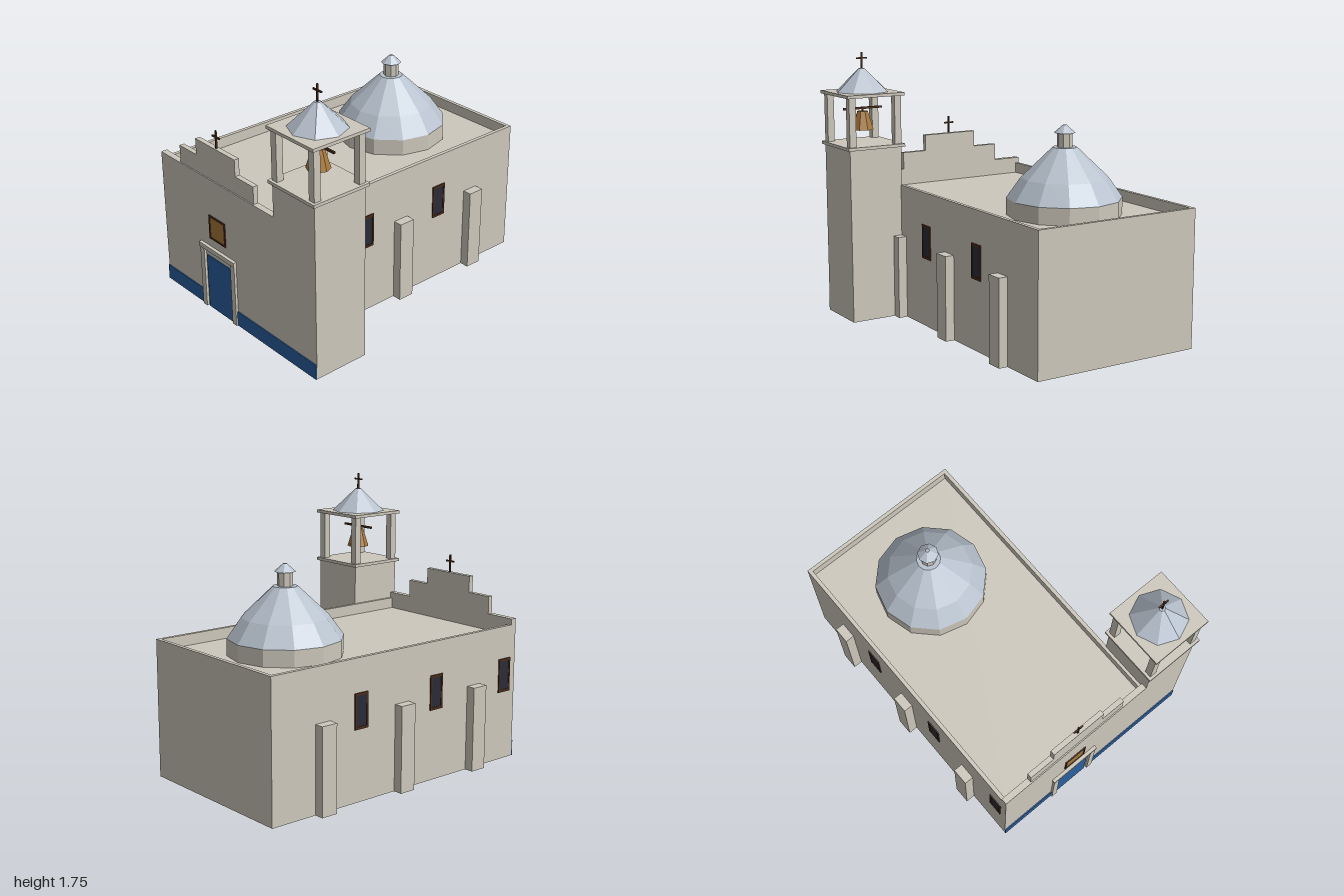
import * as THREE from 'three';

const mat = (name, color, extra = {}) => {
  const m = new THREE.MeshStandardMaterial({ color, ...extra });
  m.name = name;
  return m;
};

export function createModel() {
  const plaster = mat('plaster', 0xcdc8bc, { flatShading: true });
  const blue = mat('blue paint', 0x2a5f9e);
  const metal = mat('dome metal', 0xb8c2ce, { flatShading: true });
  const wood = mat('dark wood', 0x4a2c1a);
  const bronze = mat('bronze', 0xa8783a, { flatShading: true });
  const glass = mat('dark glass', 0x2b2b38);

  const church = new THREE.Group();
  church.name = 'church';

  const add = (name, geometry, material) => {
    const mesh = new THREE.Mesh(geometry, material);
    mesh.name = name;
    church.add(mesh);
    return mesh;
  };
  // Box given by its extents on each axis
  const box = (name, material, [x0, x1], [y0, y1], [z0, z1]) => {
    const g = new THREE.BoxGeometry(x1 - x0, y1 - y0, z1 - z0);
    return add(name, g.translate((x0 + x1) / 2, (y0 + y1) / 2, (z0 + z1) / 2), material);
  };
  // Faceted round part standing between two heights
  const round = (name, material, rTop, rBottom, y0, y1, sides, x, z) => {
    const g = new THREE.CylinderGeometry(rTop, rBottom, y1 - y0, sides);
    return add(name, g.translate(x, (y0 + y1) / 2, z), material);
  };
  const cross = (name, x, z, y0, y1, armY) => {
    box(name + 'Post', wood, [x - 0.005, x + 0.005], [y0, y1], [z - 0.005, z + 0.005]);
    box(name + 'Arm', wood, [x - 0.036, x + 0.036], [armY - 0.005, armY + 0.005], [z - 0.005, z + 0.005]);
  };

  // Nave with sunken roof and parapet
  const L = -0.73, R = 0.405, back = -1, front = 0.978, roofY = 0.81, top = 0.88;
  box('nave', plaster, [L, R], [0, roofY], [back, front]);
  box('backParapet', plaster, [L, R], [roofY, top], [back, back + 0.025]);
  box('rightParapet', plaster, [L, L + 0.025], [roofY, top], [back + 0.025, 0.937]);
  box('leftParapet', plaster, [R - 0.025, R], [roofY, top], [back + 0.025, 0.937]);

  // Stepped front gable
  box('facadeTop', plaster, [L, R], [roofY, 0.918], [0.937, front]);
  box('gableLower', plaster, [-0.53, 0.207], [0.918, 1.032], [0.937, 0.97]);
  box('gableUpper', plaster, [-0.355, 0.035], [1.032, 1.14], [0.937, 0.97]);
  cross('gableCross', -0.16, 0.955, 1.14, 1.255, 1.212);

  // Buttresses on both sides
  for (const z of [-0.63, -0.015, 0.6]) {
    box('rightButtress', plaster, [L - 0.06, L], [0, 0.545], [z - 0.055, z + 0.055]);
    box('leftButtress', plaster, [R, R + 0.06], [0, 0.545], [z - 0.055, z + 0.055]);
  }

  // Side windows: framed thin panes
  const sideWindow = (x, side, z) => {
    const span = (t) => (side > 0 ? [x, x + t] : [x - t, x]);
    box('windowPane', glass, span(0.004), [0.465, 0.655], [z - 0.04, z + 0.04]);
    for (const s of [-1, 1]) {
      const e = z + s * 0.045;
      box('windowJamb', wood, span(0.007), [0.45, 0.67], [e - 0.006, e + 0.006]);
      const y = 0.56 + s * 0.102;
      box('windowRail', wood, span(0.007), [y - 0.008, y + 0.008], [z - 0.04, z + 0.04]);
    }
  };
  for (const z of [-0.34, 0.27, 0.88]) sideWindow(L, -1, z);
  for (const z of [-0.34, 0.27]) sideWindow(R, 1, z);

  // Front window
  box('frontShutter', bronze, [-0.235, -0.085], [0.515, 0.665], [front, front + 0.004]);
  for (const s of [-1, 1]) {
    const x = -0.16 + s * 0.075, y = 0.59 + s * 0.075;
    box('frontWindowJamb', wood, [x - 0.006, x + 0.006], [0.509, 0.671], [front, front + 0.007]);
    box('frontWindowRail', wood, [-0.229, -0.091], [y - 0.006, y + 0.006], [front, front + 0.007]);
  }

  // Door, its surround and the painted base band
  box('door', blue, [-0.28, -0.04], [0, 0.375], [front, front + 0.006]);
  box('doorPost', plaster, [-0.332, -0.292], [0, 0.42], [front, 0.995]);
  box('doorPost', plaster, [-0.024, 0.016], [0, 0.42], [front, 0.995]);
  box('doorLintel', plaster, [-0.338, 0.02], [0.42, 0.45], [front, 1]);
  box('baseBand', blue, [L, -0.332], [0, 0.1], [front, front + 0.007]);
  box('baseBand', blue, [0.016, 0.765], [0, 0.1], [front, front + 0.007]);

  // Bell tower
  const tx = 0.582, tz = 0.793, h = 0.185;
  box('towerShaft', plaster, [tx - h + 0.002, tx + h], [0, 1.135], [tz - h, front]);
  for (const y of [1.135, 1.47]) {
    box('towerCornice', plaster, [tx - 0.203, tx + 0.203], [y, y + 0.02], [tz - 0.203, tz + 0.203]);
  }
  for (const sx of [-1, 1]) for (const sz of [-1, 1]) {
    const x = tx + sx * (h - 0.023), z = tz + sz * (h - 0.023);
    box('towerPost', plaster, [x - 0.023, x + 0.023], [1.155, 1.47], [z - 0.023, z + 0.023]);
  }
  round('towerRoof', metal, 0.02, 0.175, 1.49, 1.64, 8, tx, tz);
  cross('towerCross', tx, tz, 1.64, 1.745, 1.706);
  round('bell', bronze, 0.036, 0.073, 1.24, 1.36, 8, tx, tz);
  box('bellBeam', wood, [tx - 0.138, tx + 0.138], [1.374, 1.388], [tz - 0.006, tz + 0.006]);
  box('bellHanger', wood, [tx - 0.005, tx + 0.005], [1.355, 1.376], [tz - 0.005, tz + 0.005]);

  // Main dome with drum and lantern
  const dx = -0.16, dz = -0.445;
  round('domeDrum', plaster, 0.357, 0.357, roofY, 0.915, 12, dx, dz);
  const profile = [[0.357, 0.915], [0.268, 1.04], [0.075, 1.225], [0, 1.225]]
    .map(([r, y]) => new THREE.Vector2(r, y));
  add('dome', new THREE.LatheGeometry(profile, 12), metal).position.set(dx, 0, dz);
  round('lantern', plaster, 0.048, 0.048, 1.225, 1.312, 8, dx, dz);
  round('lanternCap', metal, 0.012, 0.066, 1.312, 1.36, 8, dx, dz);

  return church;
}
